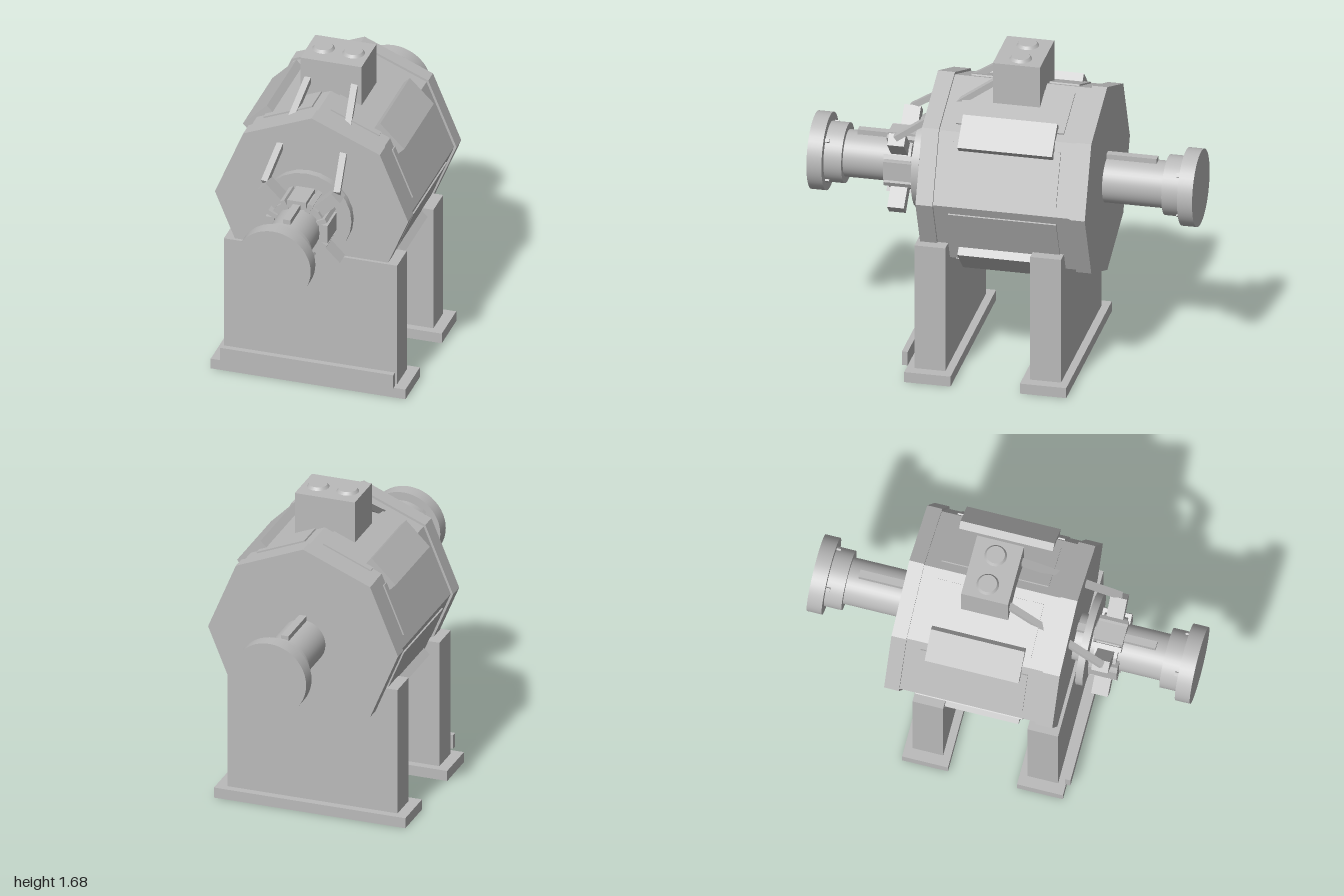
import * as THREE from 'three';

export function createModel() {
  const model = new THREE.Group();
  model.name = 'drumMachine';
  const steel = new THREE.MeshStandardMaterial({ color: 0xbababa });
  steel.name = 'grey steel';
  const AXIS = 1.0; // height of the shaft axis

  function add(name, geometry, parent = model) {
    const mesh = new THREE.Mesh(geometry, steel);
    mesh.name = name;
    parent.add(mesh);
    return mesh;
  }

  // box given by its limits
  function box(name, x0, x1, y0, y1, z0, z1, parent = model) {
    const m = add(name, new THREE.BoxGeometry(x1 - x0, y1 - y0, z1 - z0), parent);
    m.position.set((x0 + x1) / 2, (y0 + y1) / 2, (z0 + z1) / 2);
    return m;
  }

  // everything in this group turns about the shaft axis
  const rotor = new THREE.Group();
  rotor.name = 'rotor';
  rotor.position.y = AXIS;
  model.add(rotor);

  // round or faceted disc along z
  function disc(name, r, z0, z1, sides = 48, flat = false) {
    let g = new THREE.CylinderGeometry(r, r, Math.abs(z1 - z0), sides).rotateX(Math.PI / 2);
    if (flat) {
      g = g.toNonIndexed();
      g.computeVertexNormals();
    }
    const m = add(name, g, rotor);
    m.position.z = (z0 + z1) / 2;
    return m;
  }

  // box standing out from the axis at an angle measured from straight up
  function radialBox(name, angle, width, r0, r1, z0, z1) {
    const holder = new THREE.Group();
    holder.name = name + 'Holder';
    holder.rotation.z = -angle;
    rotor.add(holder);
    box(name, -width / 2, width / 2, r0, r1, z0, z1, holder);
  }

  // octagonal drum with end flanges
  disc('drumBody', 0.5, -0.44, 0.28, 8, true);
  disc('frontFlange', 0.513, 0.275, 0.363, 8, true);
  disc('backFlange', 0.513, -0.515, -0.437, 8, true);

  // raised panel on each drum face
  const apothem = 0.5 * Math.cos(Math.PI / 8);
  for (let i = 0; i < 8; i++) {
    radialBox('facePanel', (i + 0.5) * Math.PI / 4, 0.28, apothem - 0.01, apothem + 0.008, -0.36, 0.2);
  }

  // cover plates over the diagonal edges, with bolts and clamp blocks on the same diagonals
  for (let i = 0; i < 4; i++) {
    const a = (i + 0.5) * Math.PI / 2;
    radialBox('edgeCover', a, 0.18, 0.465, 0.516, -0.325, 0.165);
    radialBox('clampBlock', a, 0.065, 0.13, 0.278, 0.49, 0.577);
    radialBox('frontCollarBolt', a, 0.02, 0.14, 0.165, 0.9, 0.925);
    radialBox('backCollarBolt', a, 0.02, 0.14, 0.165, -0.925, -0.9);
  }

  // shafts, collars and end caps
  for (const [side, s, root] of [['front', 1, 0.35], ['back', -1, 0.5]]) {
    disc(side + 'Shaft', 0.121, s * root, s * 0.84);
    disc(side + 'Collar', 0.155, s * 0.83, s * 0.925);
    disc(side + 'EndCap', 0.2, s * 0.922, s);
    const z = [s * root, s * 0.775].sort((a, b) => a - b);
    box(side + 'Key', -0.02, 0.02, 0.1, 0.146, z[0], z[1], rotor);
  }

  // front disc and ribbed hub
  disc('frontDisc', 0.24, 0.412, 0.45, 24);
  disc('hub', 0.155, 0.475, 0.595, 16, true);
  for (let i = 0; i < 4; i++) {
    const a = i * Math.PI / 2;
    radialBox('hubPlate', a, 0.1, 0.12, 0.165, 0.46, 0.61);
    for (const s of [-1, 1]) {
      radialBox('hubRib', a + s * 0.46, 0.025, 0.12, 0.173, 0.46, 0.61);
    }
  }

  // support walls on base plates
  for (const [side, s] of [['front', 1], ['back', -1]]) {
    const stand = new THREE.Group();
    stand.name = side + 'Stand';
    stand.position.z = s * 0.3;
    model.add(stand);
    box('supportWall', -0.46, 0.46, 0.05, 0.745, -0.08, 0.08, stand);
    box('basePlate', -0.517, 0.517, 0, 0.056, -0.12, 0.12, stand);
  }
  box('frontRail', -0.46, 0.46, 0.067, 0.143, 0.415, 0.445);

  // control box with two round knobs
  box('controlBox', -0.162, 0.162, 1.42, 1.665, -0.203, 0.042);
  for (const s of [-1, 1]) {
    const knob = add('knob', new THREE.CylinderGeometry(0.047, 0.058, 0.016, 32));
    knob.position.set(s * 0.08, 1.672, -0.085);
  }

  // slanted arms from the clamp blocks to the control box
  for (const s of [-1, 1]) {
    const a = new THREE.Vector3(s * 0.192, 1.205, 0.54);
    const b = new THREE.Vector3(s * 0.122, 1.55, 0.03);
    const arm = add('arm', new THREE.BoxGeometry(0.034, 0.03, a.distanceTo(b)));
    arm.position.copy(a).add(b).multiplyScalar(0.5);
    arm.lookAt(a);
  }

  return model;
}
